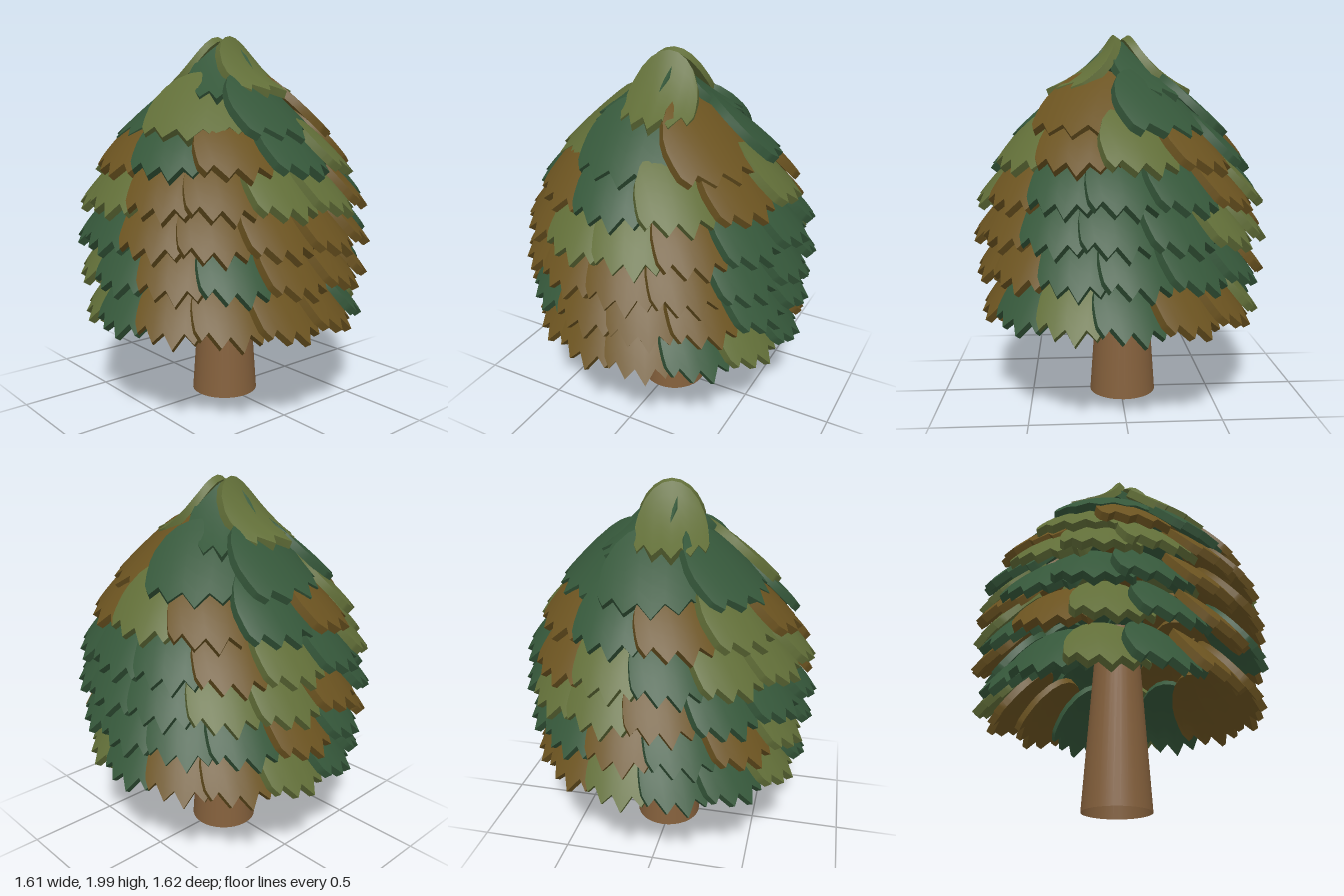
import * as THREE from 'three';
import { toCreasedNormals } from 'three/addons/utils/BufferGeometryUtils.js';

const material = (color, side = THREE.FrontSide) => new THREE.MeshStandardMaterial({ color, side });
const leafMaterials = {
  G: material(0x35573a), // deep green
  O: material(0x616e38), // olive
  B: material(0x6b5320), // brown
};

// Rows of leaves from bottom to top. a0 and a1 are the slopes at root and tip,
// curl the radius across the leaf, yaw lifts one side of a leaf over its
// neighbour, phase is the heading of the first leaf in degrees, one letter per leaf.
const rows = [
  { y: 0.485, r: 0.775, half: 0.205, length: 0.5, a0: 0.65, a1: 1.0, curl: 0.5, yaw: 0.2, phase: 6, colors: 'GBBBBGOGBBOGGO' },
  { y: 0.705, r: 0.8, half: 0.205, length: 0.5, a0: 0.65, a1: 1.0, curl: 0.5, yaw: 0.2, phase: 8, colors: 'GBGBBBGGGGBGBO' },
  { y: 0.9, r: 0.81, half: 0.205, length: 0.5, a0: 0.63, a1: 0.98, curl: 0.5, yaw: 0.2, phase: 0, colors: 'GBBBBBGGGOOBGG' },
  { y: 1.09, r: 0.79, half: 0.205, length: 0.5, a0: 0.6, a1: 0.95, curl: 0.5, yaw: 0.2, phase: 3, colors: 'OBBOOBGGGBOGOO' },
  { y: 1.28, r: 0.71, half: 0.22, length: 0.5, a0: 0.58, a1: 0.9, curl: 0.5, yaw: 0.2, phase: -4, colors: 'BGBGOBOBGBO' },
  { y: 1.46, r: 0.59, half: 0.26, length: 0.54, a0: 0.6, a1: 0.78, curl: 0.6, yaw: 0.14, phase: 33, colors: 'OGBGGG' },
  { y: 1.66, r: 0.4, half: 0.18, length: 0.5, a0: 0.8, a1: 0.5, curl: 0.45, yaw: 0, phase: 45, colors: 'GG' },
  { y: 1.7, r: 0.41, half: 0.185, length: 0.48, a0: 1.0, a1: 0.35, curl: 0.4, yaw: 0, phase: 102, colors: 'OO' },
];

const THICK = 0.042;
const STEPS = 6;

// Half of the toothed lower edge: [position across, height above the tip]
const HALF_EDGE = [[0, 0], [0.25, 0.085], [0.5, 0.035], [0.72, 0.125], [0.9, 0.09], [0.97, 0.13], [1, 0.15]];
const EDGE = [...HALF_EDGE.slice(1).reverse().map(([t, d]) => [-t, d]), ...HALF_EDGE];

// Curved leaf facing +z: rounded root, toothed tip, solid thickness
function leafGeometry({ y, r, half, length, a0, a1, curl, yaw }) {
  const bend = length / (a1 - a0);
  const points = [];
  const index = [];
  const n = EDGE.length;
  const id = (side, i, j) => (side * n + i) * (STEPS + 1) + j;

  for (let side = 0; side < 2; side++) {
    EDGE.forEach(([t, tooth]) => {
      const top = 0.6 * length * (1 - Math.sqrt(1 - t * t));
      const bottom = length - tooth;
      for (let j = 0; j <= STEPS; j++) {
        const s = top + ((bottom - top) * j) / STEPS;
        const a = a0 + s / bend;
        const u = t * half;
        const sink = (u * u) / (2 * curl) + side * THICK;
        points.push(
          u,
          y + bend * (Math.cos(a) - Math.cos(a1)) - sink * Math.cos(a),
          r - bend * (Math.sin(a1) - Math.sin(a)) - sink * Math.sin(a),
        );
      }
    });
  }

  const quad = (a, b, c, d) => index.push(a, b, c, a, c, d);
  for (let i = 0; i < n - 1; i++) {
    for (let j = 0; j < STEPS; j++) {
      quad(id(0, i, j), id(0, i, j + 1), id(0, i + 1, j + 1), id(0, i + 1, j));
      quad(id(1, i, j), id(1, i + 1, j), id(1, i + 1, j + 1), id(1, i, j + 1));
    }
    // rim along the root and the teeth
    quad(id(0, i, 0), id(0, i + 1, 0), id(1, i + 1, 0), id(1, i, 0));
    quad(id(0, i, STEPS), id(1, i, STEPS), id(1, i + 1, STEPS), id(0, i + 1, STEPS));
  }
  // rim along both sides
  for (let j = 0; j < STEPS; j++) {
    quad(id(0, 0, j), id(1, 0, j), id(1, 0, j + 1), id(0, 0, j + 1));
    quad(id(0, n - 1, j), id(0, n - 1, j + 1), id(1, n - 1, j + 1), id(1, n - 1, j));
  }

  const geometry = new THREE.BufferGeometry();
  geometry.setAttribute('position', new THREE.Float32BufferAttribute(points, 3));
  geometry.setIndex(index);
  geometry.translate(0, 0, -r).rotateY(yaw).translate(0, 0, r);
  return toCreasedNormals(geometry, 0.6);
}

export function createModel() {
  const model = new THREE.Group();
  model.name = 'tree';

  // Tapered trunk, open at the ends, reaching up inside the crown
  const trunk = new THREE.Mesh(
    new THREE.CylinderGeometry(0.115, 0.185, 1.0, 32, 1, true),
    material(0x84603c, THREE.DoubleSide),
  );
  trunk.name = 'trunk';
  trunk.position.set(-0.012, 0.5, -0.015);
  model.add(trunk);

  // Crown of overlapping leaf rows
  const crown = new THREE.Group();
  crown.name = 'crown';
  rows.forEach((row, k) => {
    const geometry = leafGeometry(row);
    const ring = new THREE.Group();
    ring.name = `leafRow${k + 1}`;
    [...row.colors].forEach((color, i) => {
      const leaf = new THREE.Mesh(geometry, leafMaterials[color]);
      leaf.name = 'leaf';
      leaf.rotation.y = THREE.MathUtils.degToRad(row.phase + (360 * i) / row.colors.length);
      ring.add(leaf);
    });
    crown.add(ring);
  });
  model.add(crown);

  return model;
}
